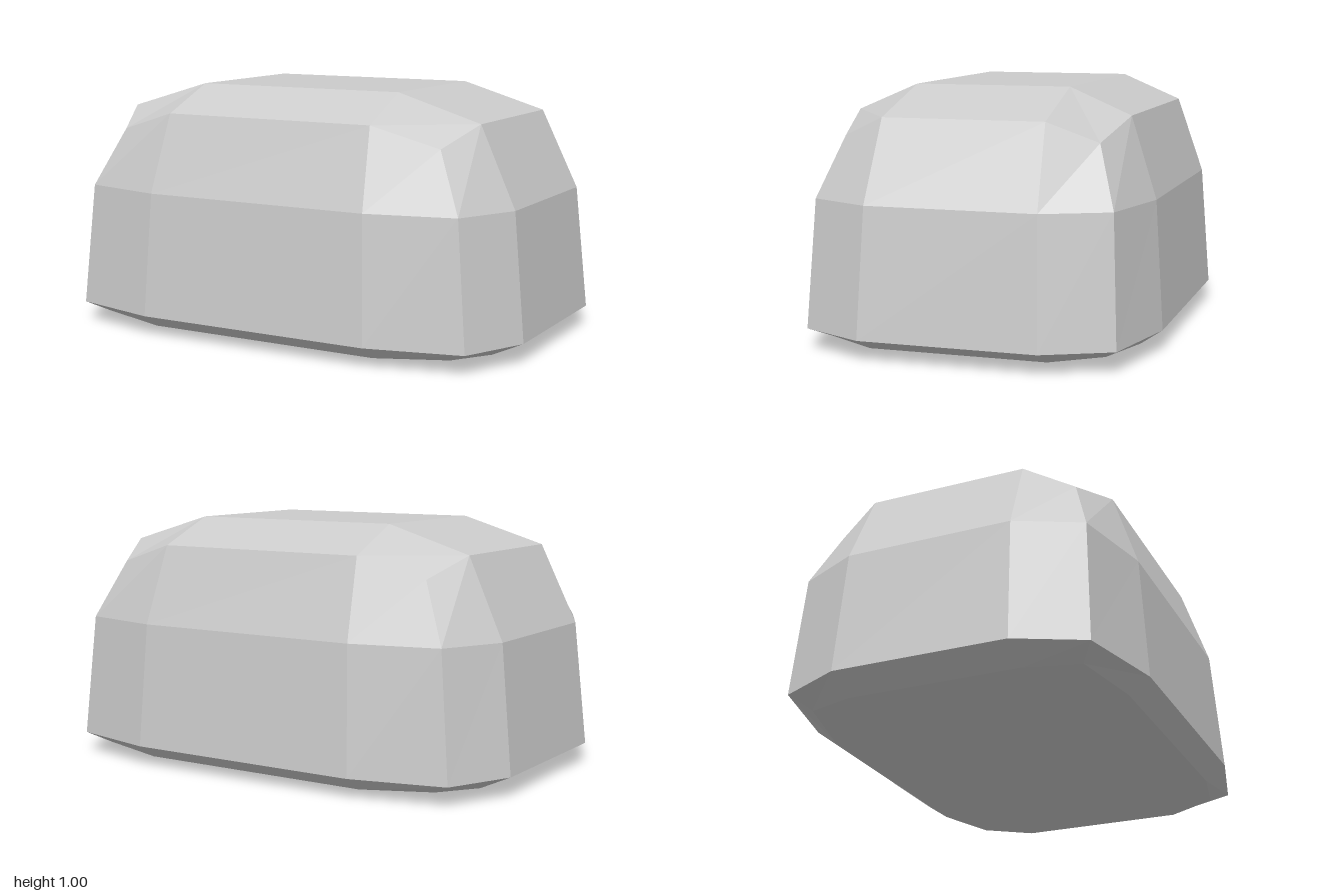
import * as THREE from 'three';

// Rings from bottom to top; [x, y, z] for the corner, the front/back edge and the side edge.
const RINGS = [
  { corner: [0.79, 0.037, 0.55], front: [0.5, 0.022, 0.615], side: [0.875, 0.022, 0.35] },
  { corner: [0.875, 0.08, 0.61], front: [0.5, 0.08, 0.7], side: [1, 0.08, 0.35] },
  { corner: [0.83, 0.58, 0.585], front: [0.48, 0.58, 0.665], side: [0.95, 0.58, 0.335] },
  { corner: [0.72, 0.815, 0.505], front: [0.455, 0.895, 0.56], side: [0.8, 0.895, 0.32] },
];
const BOTTOM = [0.5, 0, 0.35];
const TOP = [0.45, 1, 0.315];

// Pick the position of a grid point, mirrored over x and z.
function place(x, y, z) {
  const ring = Math.round((y + 0.5) * 3);
  const outerX = Math.abs(x) > 0.4;
  const outerZ = Math.abs(z) > 0.4;
  let p = ring === 0 ? BOTTOM : TOP;
  if (outerX && outerZ) p = RINGS[ring].corner;
  else if (outerZ) p = RINGS[ring].front;
  else if (outerX) p = RINGS[ring].side;
  return [Math.sign(x) * p[0], p[1], Math.sign(z) * p[2]];
}

export function createModel() {
  const group = new THREE.Group();
  group.name = 'roundedBlock';

  // Faceted body: a 3 x 3 x 3 box moulded into a bulging, tapered block
  const box = new THREE.BoxGeometry(1, 1, 1, 3, 3, 3);
  const pos = box.attributes.position;
  for (let i = 0; i < pos.count; i++) {
    pos.setXYZ(i, ...place(pos.getX(i), pos.getY(i), pos.getZ(i)));
  }
  const geometry = box.toNonIndexed();
  geometry.computeVertexNormals();

  const body = new THREE.Mesh(
    geometry,
    new THREE.MeshStandardMaterial({ color: 0xcccccc, flatShading: true })
  );
  body.name = 'body';
  group.add(body);
  return group;
}
